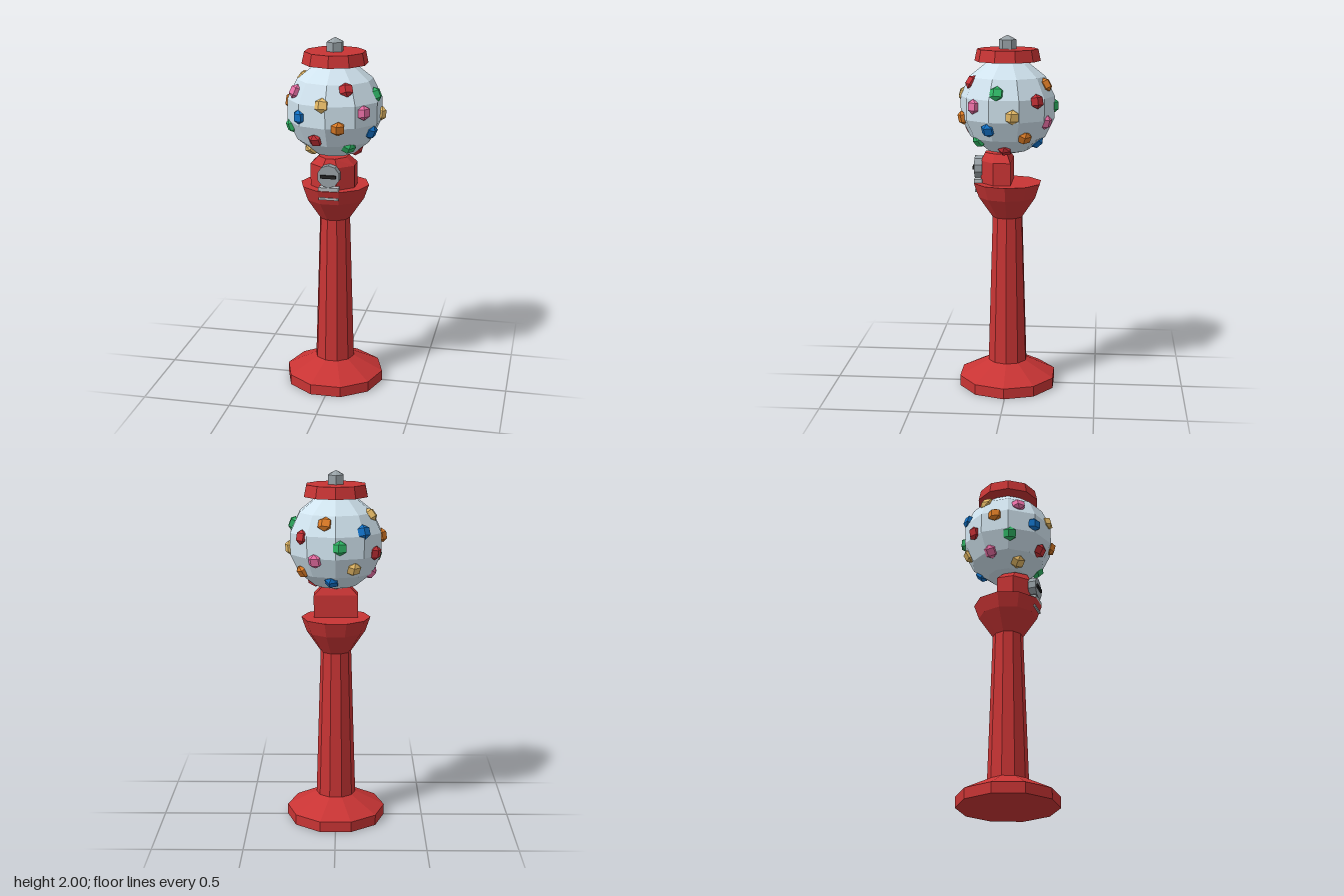
import * as THREE from 'three';

const mat = (color) => new THREE.MeshStandardMaterial({ color, flatShading: true });
const red = mat(0xc83434);
const glass = mat(0xd0e3ee);
const metal = mat(0x98a1a6);
const silver = mat(0xb4babd);
const dark = mat(0x222222);
const candy = [0xe8bc68, 0xc42f35, 0xdd7c26, 0xea6fa6, 0x30b766, 0x1272c8].map(mat);

export function createModel() {
  const model = new THREE.Group();
  const body = new THREE.Group();
  body.name = 'candyMachine';
  body.position.z = 0.005;
  model.add(body);

  const add = (name, geometry, material, x = 0, y = 0, z = 0) => {
    const mesh = new THREE.Mesh(geometry, material);
    mesh.name = name;
    mesh.position.set(x, y, z);
    body.add(mesh);
    return mesh;
  };

  // Upright tapered prism between two heights
  const frustum = (name, material, r0, r1, y0, y1, turn = 0, sides = 10) =>
    add(name, new THREE.CylinderGeometry(r1, r0, y1 - y0, sides), material, 0, (y0 + y1) / 2).rotation.y = turn;

  // Stand
  const turn = Math.PI / 10;
  frustum('basePlate', red, 0.28, 0.28, 0, 0.06, turn);
  frustum('baseSlope', red, 0.28, 0.112, 0.06, 0.145, turn);
  frustum('column', red, 0.112, 0.086, 0.145, 0.99, turn);
  frustum('bowlLower', red, 0.086, 0.165, 0.99, 1.105, turn);
  frustum('bowlUpper', red, 0.165, 0.193, 1.105, 1.185, turn);

  // Coin housing: flat back, angled front corners, chamfered top
  const plan = new THREE.Shape([
    [-0.123, 0.025], [-0.123, -0.07], [-0.04, -0.145],
    [0.04, -0.145], [0.123, -0.07], [0.123, 0.025],
  ].map(([x, y]) => new THREE.Vector2(x, y)));
  const housing = new THREE.ExtrudeGeometry(plan, { depth: 0.17, steps: 2, bevelEnabled: false });
  housing.rotateX(-Math.PI / 2);
  const p = housing.attributes.position;
  for (let i = 0; i < p.count; i++) {
    const y = p.getY(i);
    if (y > 0.16) {
      p.setX(i, p.getX(i) * 0.63);
      p.setZ(i, 0.06 + (p.getZ(i) - 0.06) * 0.75);
    } else if (y > 0.05) p.setY(i, 0.125);
  }
  housing.computeVertexNormals();
  add('coinHousing', housing, red, 0, 1.185);

  // Coin mechanism and chute
  add('coinKnob', new THREE.CylinderGeometry(0.063, 0.063, 0.044, 10).rotateX(Math.PI / 2), metal, 0, 1.27, 0.16);
  add('coinSlot', new THREE.BoxGeometry(0.085, 0.018, 0.02), dark, 0, 1.27, 0.182);
  add('chuteShelf', new THREE.BoxGeometry(0.11, 0.02, 0.045), silver, 0, 1.197, 0.16);
  add('chuteLip', new THREE.BoxGeometry(0.11, 0.012, 0.04), silver, 0, 1.142, 0.157);

  // Globe
  const globeY = 1.61;
  add('globe', new THREE.SphereGeometry(0.267, 10, 7).rotateY(Math.PI / 2), glass, 0, globeY);

  // Candies spiral down the globe, flattened against it
  const gem = new THREE.SphereGeometry(0.044, 5, 3).scale(1, 0.93, 0.65);
  const golden = Math.PI * (3 - Math.sqrt(5));
  const R = 0.257;
  for (let i = 0; i < 26; i++) {
    const dy = 0.158 - i * 0.01535;
    const a = -1.91 + i * golden;
    const rho = Math.sqrt(R * R - dy * dy);
    const ball = add('candy', gem, candy[i % 6], Math.sin(a) * rho, globeY + dy, Math.cos(a) * rho);
    // local +z points straight out of the globe
    ball.quaternion.setFromEuler(new THREE.Euler(-Math.asin(dy / R), a, 0, 'YXZ'));
  }

  // Lid and finial
  frustum('lid', red, 0.182, 0.168, 1.86, 1.925);
  frustum('finial', metal, 0.048, 0.048, 1.925, 1.975, 0, 6);
  add('finialTip', new THREE.ConeGeometry(0.048, 0.025, 6), metal, 0, 1.9875);

  return model;
}
